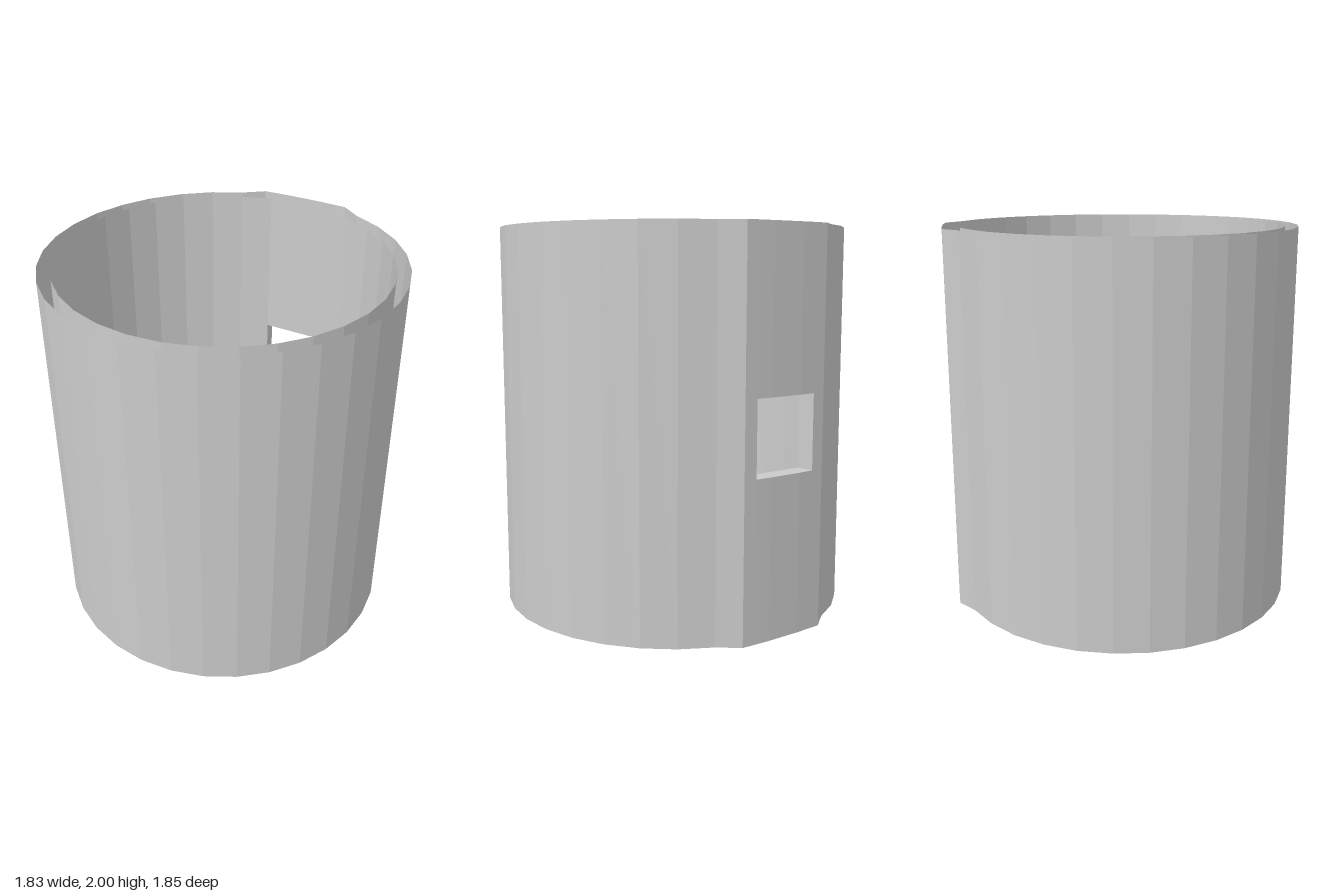
import * as THREE from 'three';

const HEIGHT = 2, SILL = 0.81, HEAD = 1.19, CENTER_Z = 0.01, SEGMENTS = 32;

// Flat-shaded mesh from a list of quads (four [x, y, z] corners each)
function quadMesh(name, quads, material) {
  const positions = quads.flatMap(([a, b, c, d]) => [a, b, c, a, c, d].flat());
  const geometry = new THREE.BufferGeometry();
  geometry.setAttribute('position', new THREE.Float32BufferAttribute(positions, 3));
  geometry.computeVertexNormals();
  const mesh = new THREE.Mesh(geometry, material);
  mesh.name = name;
  return mesh;
}

// Closed outline: an arc starting at the back, plus a mirrored back section
function outline(radius, firstStep, backHalf) {
  const points = backHalf.map(([x, z]) => [x, z]);
  for (let k = firstStep; k <= SEGMENTS - firstStep; k++) {
    const t = (k / SEGMENTS) * Math.PI * 2;
    points.push([radius * Math.sin(t), CENTER_Z - radius * Math.cos(t)]);
  }
  return points.concat(backHalf.map(([x, z]) => [-x, z]).reverse());
}

// Vertical wall along an outline, leaving the window open at the back
function wallQuads(points, windowHalf, inward) {
  const quads = [];
  points.forEach((p, i) => {
    const q = points[(i + 1) % points.length];
    const inWindow = [p, q].every(([x, z]) => z < 0 && Math.abs(x) <= windowHalf + 1e-4);
    const spans = inWindow ? [[0, SILL], [HEAD, HEIGHT]] : [[0, HEIGHT]];
    for (const [y0, y1] of spans) {
      const quad = [[p[0], y0, p[1]], [p[0], y1, p[1]], [q[0], y1, q[1]], [q[0], y0, q[1]]];
      quads.push(inward ? quad.reverse() : quad);
    }
  });
  return quads;
}

export function createModel() {
  const group = new THREE.Group();
  group.name = 'sleeve';
  const material = new THREE.MeshStandardMaterial({
    color: 0xcccccc, flatShading: true, side: THREE.DoubleSide,
  });

  // Outer shell with a raised, very slightly bowed panel at the back
  const outerBack = [[0.09, -0.925], [0.178, -0.921], [0.247, -0.917]];
  group.add(quadMesh('outerWall', wallQuads(outline(0.915, 2, outerBack), 0.178, false), material));

  // Inner shell, open at both ends like the outer one
  const innerBack = [[0.165, -0.832]];
  group.add(quadMesh('innerWall', wallQuads(outline(0.847, 2, innerBack), 0.165, true), material));

  // Window reveal joining both shells: sill, head and two jambs
  const rim = [[-0.165, -0.832], [-0.178, -0.921], [-0.09, -0.925],
    [0.09, -0.925], [0.178, -0.921], [0.165, -0.832]];
  const at = (i, y) => [rim[i][0], y, rim[i][1]];
  const level = (y) => [
    [at(0, y), at(5, y), at(3, y), at(2, y)],
    [at(0, y), at(2, y), at(1, y), at(1, y)],
    [at(5, y), at(4, y), at(3, y), at(3, y)],
  ];
  group.add(quadMesh('windowSill', level(SILL), material));
  group.add(quadMesh('windowHead', level(HEAD).map((quad) => quad.reverse()), material));
  group.add(quadMesh('windowJambs', [
    [at(0, SILL), at(1, SILL), at(1, HEAD), at(0, HEAD)].reverse(),
    [at(5, SILL), at(4, SILL), at(4, HEAD), at(5, HEAD)],
  ], material));

  return group;
}
